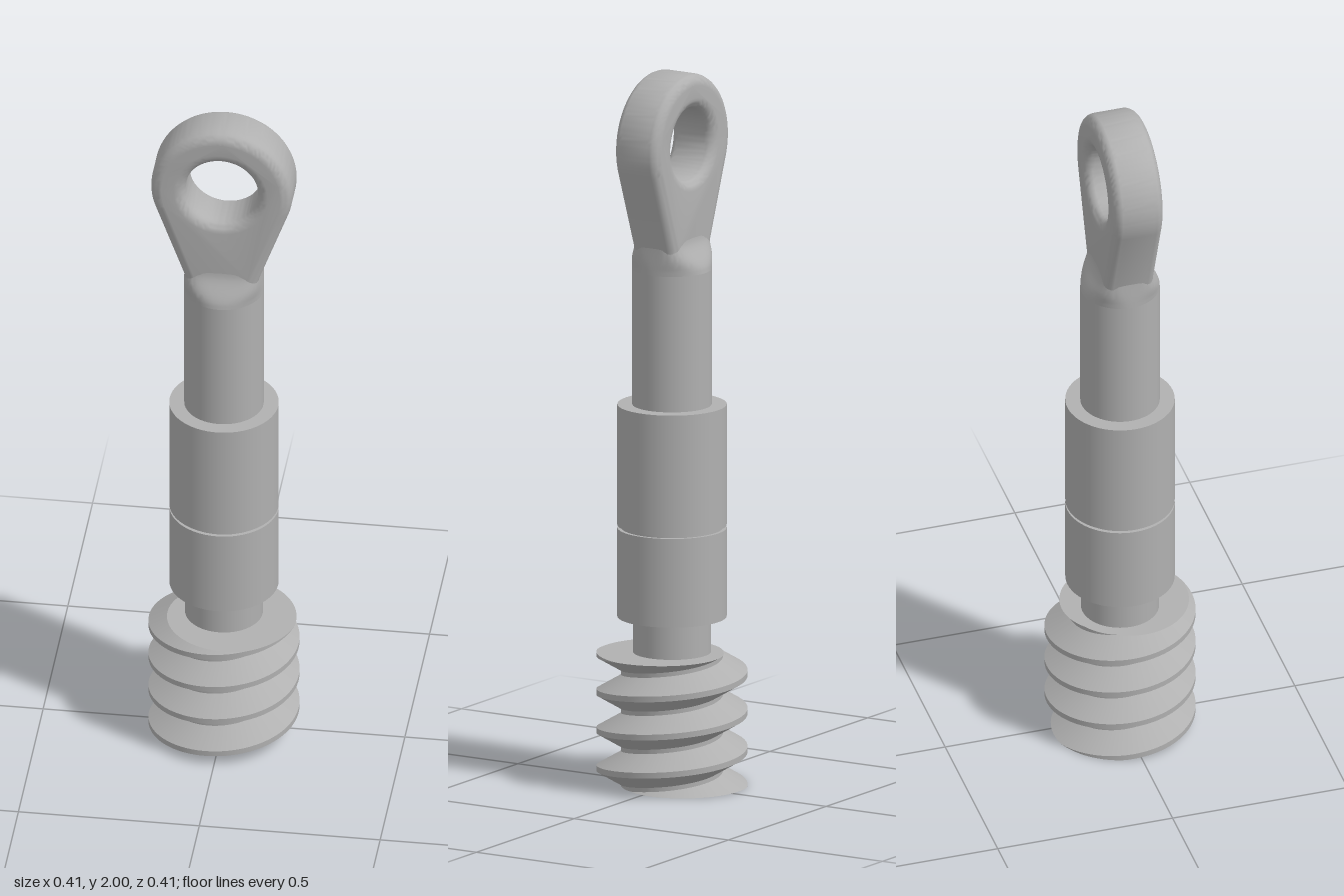
import * as THREE from 'three';
import { toCreasedNormals } from 'three/addons/utils/BufferGeometryUtils.js';

// Skin a grid of rows; point(i, j) gives a position for column i and row j (rows run upward/outward).
function skin(cols, rows, point, crease) {
  const pos = [], index = [];
  for (let j = 0; j < rows; j++) for (let i = 0; i <= cols; i++) pos.push(...point(i, j));
  for (let j = 0; j < rows - 1; j++) {
    for (let i = 0; i < cols; i++) {
      const a = j * (cols + 1) + i, b = a + 1, c = b + cols + 1, d = a + cols + 1;
      index.push(a, b, c, a, c, d);
    }
  }
  const g = new THREE.BufferGeometry();
  g.setAttribute('position', new THREE.Float32BufferAttribute(pos, 3));
  g.setIndex(index);
  return toCreasedNormals(g, crease);
}

// Helical worm thread cut flat at top and bottom, with a small blind hole underneath
function threadGeometry() {
  const H = 0.375, pitch = 0.107, root = 0.14, crest = 0.207, land = 0.008, foot = 0.0475;
  const cols = 120, crestY = a => 0.36 + pitch * a / (2 * Math.PI);
  const radius = (a, y) => {
    const t = (y - crestY(a)) / pitch;
    const off = Math.abs(t - Math.round(t)) * pitch;
    return crest - (crest - root) * THREE.MathUtils.clamp((off - land) / (foot - land), 0, 1);
  };
  const offsets = [];
  for (let n = -5; n <= 1; n++) for (const o of [-foot, -land, land, foot]) offsets.push(n * pitch + o);
  const hole = [[0, 0.1], [0.037, 0.1], [0.037, 0]];
  const rows = hole.length + offsets.length + 1;
  return skin(cols, rows, (i, j) => {
    const a = i / cols * 2 * Math.PI;
    let r, y;
    if (j < hole.length) [r, y] = hole[j];
    else if (j === rows - 1) { r = 0; y = H; }
    else {
      y = THREE.MathUtils.clamp(crestY(a) + offsets[j - hole.length], 0, H);
      r = radius(a, y);
    }
    return [r * Math.sin(a), y, r * Math.cos(a)];
  }, 0.5);
}

// Round shaft end that flattens into the eye plate
function neckGeometry() {
  const cols = 64, steps = 10, y0 = 1.45, y1 = 1.545;
  return skin(cols, steps + 2, (i, j) => {
    const t = Math.min(j / steps, 1), a = i / cols * 2 * Math.PI;
    const s = t * t * (3 - 2 * t), cap = j > steps ? 0 : 1;
    const e = 2 / (2 + 2.5 * s);
    const sx = Math.sin(a), cz = Math.cos(a);
    const x = Math.sign(sx) * Math.abs(sx) ** e * (0.109 - 0.004 * s);
    const z = Math.sign(cz) * Math.abs(cz) ** e * (0.109 - 0.038 * s);
    return [x * cap, y0 + (y1 - y0) * t, z * cap];
  }, 0.7);
}

// Teardrop eye with rounded rims
function eyeGeometry() {
  const bevel = 0.03, cy = 1.805, tangent = 0.351;
  const s = new THREE.Shape();
  s.moveTo(-0.07, 1.5);
  s.lineTo(0.07, 1.5);
  s.lineTo(0.075, 1.53);
  s.absarc(0, cy, 0.195 - bevel, -tangent, Math.PI + tangent, false);
  s.lineTo(-0.075, 1.53);
  s.closePath();
  const hole = new THREE.Path();
  hole.absarc(0, cy, 0.1 + bevel, 0, Math.PI * 2, true);
  s.holes.push(hole);
  const depth = 0.142 - 2 * bevel;
  const g = new THREE.ExtrudeGeometry(s, {
    depth, bevelEnabled: true, bevelSize: bevel, bevelThickness: bevel, bevelSegments: 6, curveSegments: 48,
  });
  g.translate(0, 0, -depth / 2);
  return toCreasedNormals(g, 0.6);
}

export function createModel() {
  const model = new THREE.Group();
  const steel = new THREE.MeshStandardMaterial({ color: 0xb0b0b0 });
  steel.name = 'grey steel';

  const add = (name, geometry) => {
    const mesh = new THREE.Mesh(geometry, steel);
    mesh.name = name;
    model.add(mesh);
  };
  const cylinder = (name, r, y0, y1) => {
    const g = new THREE.CylinderGeometry(r, r, y1 - y0, 64);
    add(name, g.translate(0, (y0 + y1) / 2, 0));
  };

  add('wormThread', threadGeometry());
  cylinder('lowerShaft', 0.107, 0.37, 0.48);
  cylinder('lowerCollar', 0.15, 0.475, 0.724);
  cylinder('collarGroove', 0.14, 0.72, 0.736);
  cylinder('upperCollar', 0.15, 0.732, 1.07);
  cylinder('upperShaft', 0.109, 1.06, 1.45);
  add('neck', neckGeometry());
  add('eye', eyeGeometry());
  return model;
}
